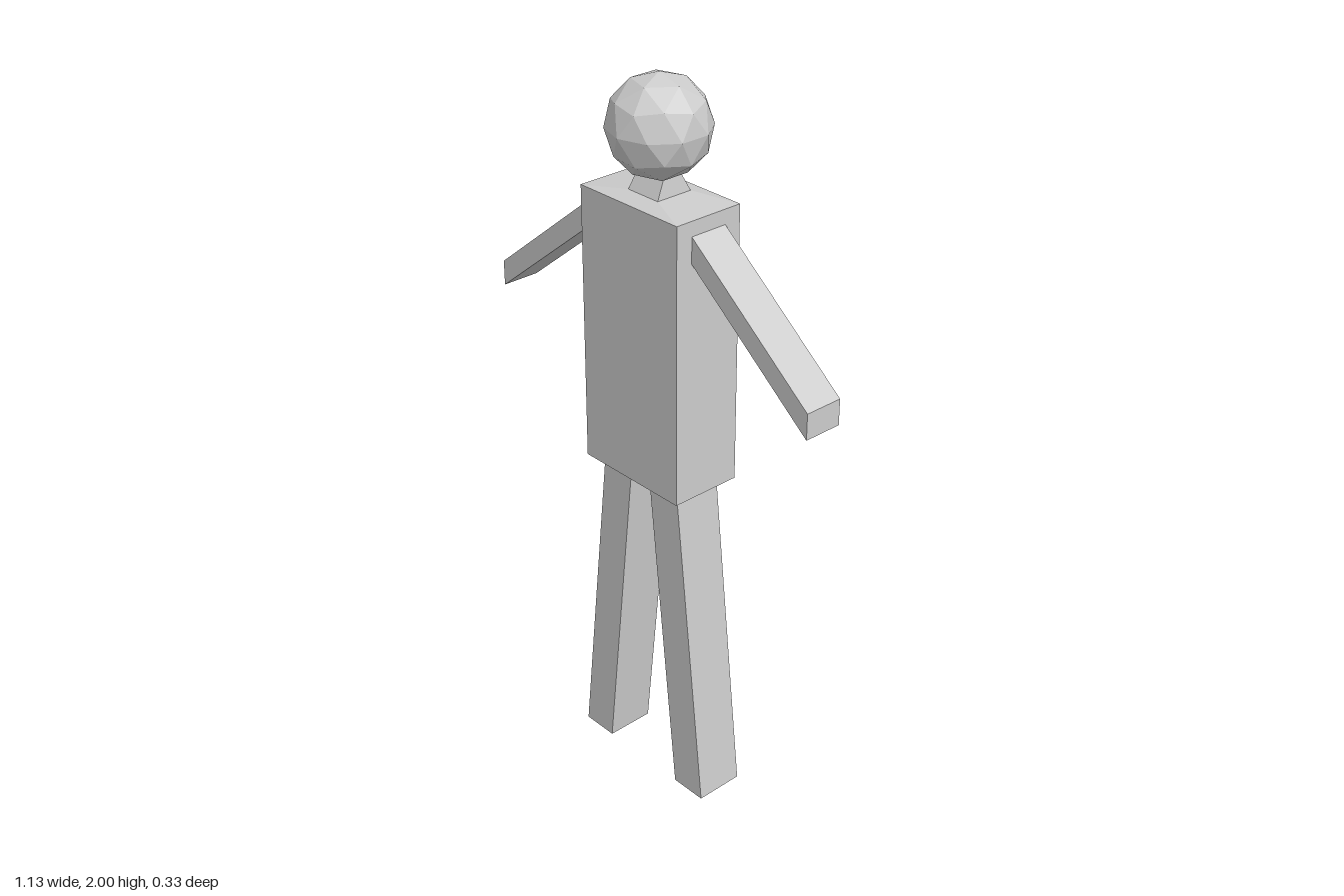
import * as THREE from 'three';

const material = new THREE.MeshStandardMaterial({ color: 0xcccccc, flatShading: true });
const MID_Z = 0.035; // shared centre depth of body, limbs and head

function part(name, geometry) {
  geometry.computeVertexNormals();
  const mesh = new THREE.Mesh(geometry, material);
  mesh.name = name;
  return mesh;
}

// Four-sided block between two level rectangles: { y, x (centre), w, d }
function block(bottom, top) {
  const geometry = new THREE.BoxGeometry(1, 1, 1);
  const p = geometry.attributes.position;
  for (let i = 0; i < p.count; i++) {
    const end = p.getY(i) > 0 ? top : bottom;
    p.setXYZ(i, (end.x ?? 0) + p.getX(i) * end.w, end.y, MID_Z + p.getZ(i) * end.d);
  }
  return geometry;
}

// Arm: a box sheared downwards so both ends stay vertical
function armGeometry(side) {
  const geometry = new THREE.BoxGeometry(0.391, 0.07, 0.108);
  const p = geometry.attributes.position;
  for (let i = 0; i < p.count; i++) {
    p.setY(i, p.getY(i) - side * p.getX(i) * 0.795);
  }
  return geometry.translate(side * 0.3685, 1.465, MID_Z);
}

export function createModel() {
  const model = new THREE.Group();
  model.name = 'figure';

  // Torso with a very shallow sloped shoulder top
  const shoulder = { y: 1.695, w: 0.346, d: 0.203 };
  const neckBase = { y: 1.706, w: 0.106, d: 0.106 };
  model.add(part('torso', block({ ...shoulder, y: 0.935 }, shoulder)));
  model.add(part('shoulders', block(shoulder, neckBase)));
  model.add(part('neck', block(neckBase, { y: 1.755, w: 0.092, d: 0.055 })));

  // Faceted head, turned so one corner points straight up
  const head = new THREE.IcosahedronGeometry(0.132, 1);
  head.rotateX(-Math.atan2((1 + Math.sqrt(5)) / 2, 1));
  head.rotateY(Math.PI / 2);
  head.translate(0, 1.868, MID_Z);
  model.add(part('head', head));

  // Cube on the back
  const pack = new THREE.BoxGeometry(0.106, 0.104, 0.102);
  model.add(part('backCube', pack.translate(0, 1.463, -0.117)));

  // Mirrored limbs
  for (const [label, side] of [['left', 1], ['right', -1]]) {
    model.add(part(label + 'Arm', armGeometry(side)));
    model.add(part(label + 'Leg', block(
      { y: 0, x: side * 0.188, w: 0.106, d: 0.138 },
      { y: 0.935, x: side * 0.087, w: 0.104, d: 0.138 },
    )));
  }
  return model;
}
